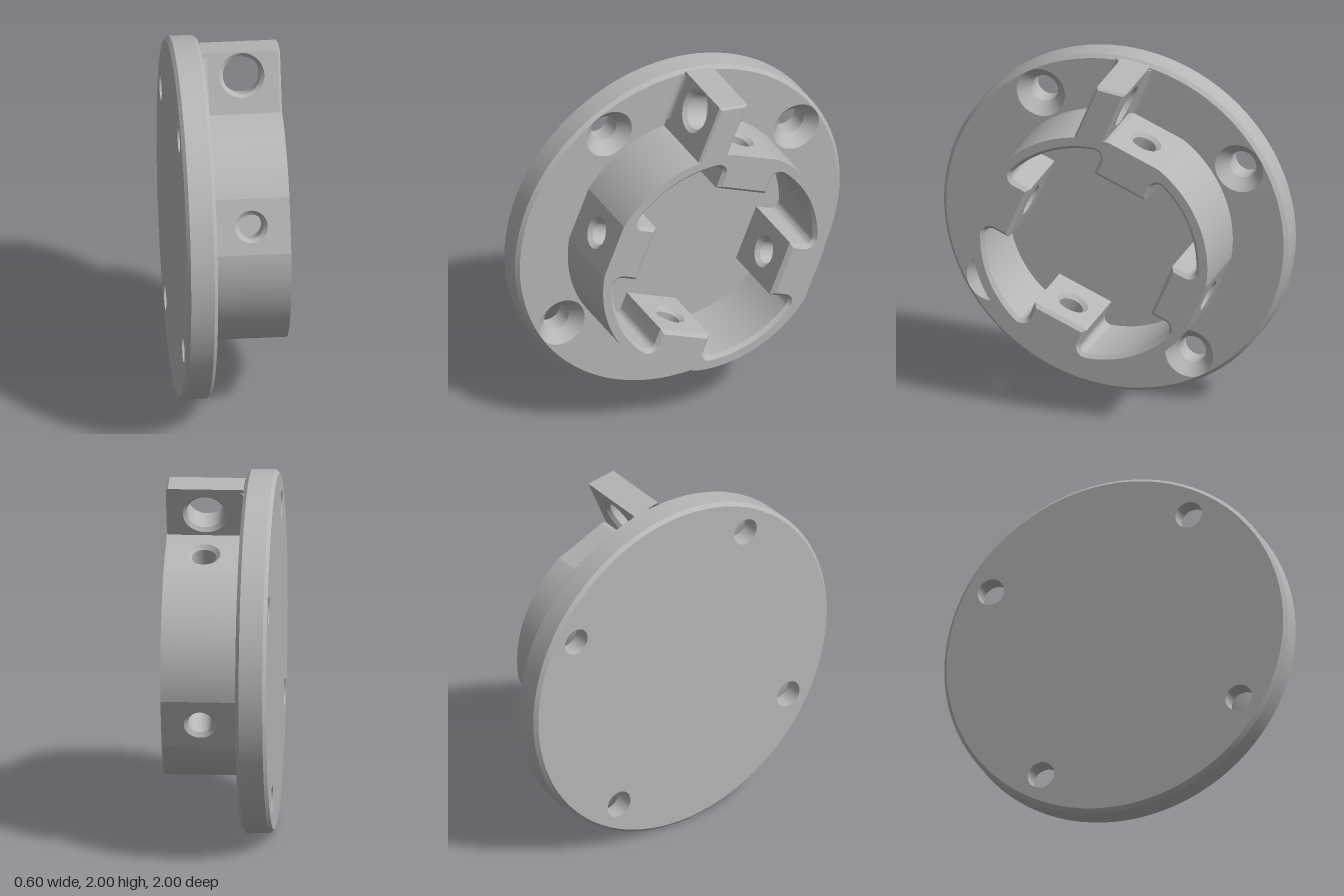
import * as THREE from 'three';
import { toCreasedNormals } from 'three/addons/utils/BufferGeometryUtils.js';

// Local frame: z runs along the flange axis, y points through the first boss.
const BACK = -0.3, FACE = -0.13, END = 0.3, EDGE = 0.02, MID = 0.085;
const INNER = 0.447, HALF = 0.163, POCKET = 0.615, FILLET = 0.04;
const OUTER = 0.685, FLAT = 0.667;

const polar = (r, a) => new THREE.Vector2(r * Math.cos(a), r * Math.sin(a));

function arc(cx, cy, r, a0, a1, n) {
  return Array.from({ length: n + 1 }, (_, i) => {
    const p = polar(r, a0 + (a1 - a0) * i / n);
    return p.set(p.x + cx, p.y + cy);
  });
}

// Move a closed loop sideways to the left of its direction
function offsetLoop(pts, d) {
  const n = pts.length;
  const normal = (a, b) => new THREE.Vector2(a.y - b.y, b.x - a.x).normalize();
  return pts.map((p, i) => {
    const n1 = normal(pts[(i + n - 1) % n], p), n2 = normal(p, pts[(i + 1) % n]);
    return n1.clone().add(n2).multiplyScalar(d / (1 + n1.dot(n2))).add(p);
  });
}

// Band between polyline a at height z0 and polyline b at height z1
function ribbon(a, z0, b, z1) {
  const pos = [];
  for (let i = 0; i + 1 < a.length; i++) {
    const p = [a[i].x, a[i].y, z0], q = [a[i + 1].x, a[i + 1].y, z0];
    const r = [b[i + 1].x, b[i + 1].y, z1], s = [b[i].x, b[i].y, z1];
    pos.push(...p, ...q, ...r, ...p, ...r, ...s);
  }
  const g = new THREE.BufferGeometry();
  g.setAttribute('position', new THREE.Float32BufferAttribute(pos, 3));
  return g;
}

// Flat face with round holes given as [x, y, radius]
function face(points, holes = []) {
  const s = new THREE.Shape(points);
  for (const [x, y, r] of holes) {
    s.holes.push(new THREE.Path(arc(x, y, r, 0, -Math.PI * 2, 40).slice(0, -1)));
  }
  return new THREE.ShapeGeometry(s);
}

const rect = (x0, y0, x1, y1) =>
  [[x0, y0], [x1, y0], [x1, y1], [x0, y1]].map(p => new THREE.Vector2(...p));
const lathe = (pts, n = 40) =>
  new THREE.LatheGeometry(pts.map(p => new THREE.Vector2(...p)), n);
const closed = pts => [...pts, pts[0]];

export function createModel() {
  const grey = new THREE.MeshStandardMaterial({ color: 0xb6b6b6, side: THREE.DoubleSide });
  grey.name = 'grey';
  const body = new THREE.Group();
  body.name = 'mountBody';

  function add(name, geometry, parent = body) {
    const g = geometry.index ? geometry.toNonIndexed() : geometry;
    g.deleteAttribute('normal');
    g.computeVertexNormals();
    const mesh = new THREE.Mesh(toCreasedNormals(g, 0.5), grey);
    mesh.name = name;
    parent.add(mesh);
    return mesh;
  }

  // Flange disc with chamfered rim and four countersunk screw holes
  const screws = [0, 1, 2, 3].map(k => polar(0.84, (53.3 / 180 + k / 2) * Math.PI));
  const circle = arc(0, 0, 1 - EDGE, 0, Math.PI * 2, 96).slice(0, -1);
  add('flangeFront', face(circle, screws.map(p => [p.x, p.y, 0.14])).translate(0, 0, FACE));
  add('flangeBack', face(circle, screws.map(p => [p.x, p.y, 0.077]))
    .scale(1, 1, 1).translate(0, 0, BACK)).geometry.index = null;
  add('flangeRim', lathe([[1 - EDGE, BACK], [1, BACK + EDGE], [1, FACE - EDGE], [1 - EDGE, FACE]], 96)
    .rotateX(Math.PI / 2));
  for (const p of screws) {
    add('screwHole', lathe([[0.14, FACE], [0.077, FACE - 0.065], [0.077, BACK]])
      .rotateX(Math.PI / 2).translate(p.x, p.y, 0));
  }

  // Pocket outline: one quarter runs from a boss corner to the next boss
  const cx = HALF + FILLET, cy = Math.sqrt((POCKET - FILLET) ** 2 - cx * cx);
  const lean = Math.atan2(cy, cx);
  const quarter = [
    new THREE.Vector2(HALF, INNER),
    ...arc(cx, cy, FILLET, Math.PI, lean, 8),
    ...arc(0, 0, POCKET, lean, Math.PI / 2 - lean, 20).slice(1, -1),
    ...arc(cy, cx, FILLET, Math.PI / 2 - lean, -Math.PI / 2, 8),
    new THREE.Vector2(INNER, HALF),
  ];
  const origin = new THREE.Vector2();
  const turned = (pts, k) => pts.map(p => p.clone().rotateAround(origin, -k * Math.PI / 2));
  const pocket = [0, 1, 2, 3].flatMap(k => turned(quarter, k));
  const pocketLip = offsetLoop(pocket, EDGE);

  // Collar outline: round with a flat outside every boss
  const phi = Math.acos(FLAT / OUTER), flatHalf = OUTER * Math.sin(phi);
  const outerArc = arc(0, 0, OUTER, phi, Math.PI / 2 - phi, 24);
  const outline = [0, -1, -2, -3].flatMap(k => turned(outerArc, k));
  const end = new THREE.Shape(outline);
  end.holes.push(new THREE.Path(pocketLip));
  add('collarEnd', new THREE.ShapeGeometry(end).translate(0, 0, END));
  add('pocketChamfer', ribbon(closed(pocket), END - EDGE, closed(pocketLip), END));

  for (let k = 0; k < 4; k++) {
    const part = new THREE.Group();
    part.name = 'collarQuarter';
    part.rotation.z = -k * Math.PI / 2;
    body.add(part);
    add('collarOuterWall', ribbon(outerArc, FACE, outerArc, END), part);
    add('pocketWall', ribbon(quarter, FACE, quarter, END - EDGE), part);
    // Boss faces and the radial hole between them
    add('bossInnerFace', face(rect(-HALF, FACE, HALF, END - EDGE), [[0, MID, 0.09]])
      .rotateX(Math.PI / 2).translate(0, INNER, 0), part);
    const h = (END - FACE) / 2;
    add('bossOuterFlat', face(rect(-flatHalf, -h, flatHalf, h), [[0, 0, 0.09]])
      .rotateX(-Math.PI / 2).translate(0, FLAT, MID), part);
    add('bossHole', lathe([[0.09, FLAT], [0.068, FLAT - 0.022], [0.068, INNER + 0.022], [0.09, INNER]])
      .translate(0, 0, MID), part);
  }

  // Side lug standing on the flange, drilled across
  const x0 = -0.345, x1 = -0.18, low0 = 0.55, low1 = 0.625, top0 = 0.935, top1 = 0.978;
  const c = 0.012;
  const section = [[x0, low0], [x1, low1], [x1, top1], [x0, top0]].map(p => new THREE.Vector2(...p));
  const inset = offsetLoop(section, c);
  const lug = new THREE.Group();
  lug.name = 'lug';
  body.add(lug);
  for (const [x, low, top] of [[x0, low0, top0], [x1, low1, top1]]) {
    const g = face(rect(FACE, low, END - c, top), [[MID, 0.805, 0.124]]).rotateY(-Math.PI / 2);
    if (x === x1) g.scale(-1, 1, 1).index.array.reverse();
    add('lugFace', g.translate(x, 0, 0), lug);
  }
  add('lugTop', ribbon(section.slice(2), FACE, section.slice(2), END - c), lug);
  add('lugEndChamfer', ribbon(closed(section), END - c, closed(inset), END), lug);
  add('lugEnd', face(inset).translate(0, 0, END), lug);
  add('lugHole', lathe([[0.124, x1], [0.104, x1 - 0.02], [0.104, x0 + 0.02], [0.124, x0]])
    .rotateZ(-Math.PI / 2).translate(0, 0.805, MID), lug);

  // Concave fillets where the lug meets the flange
  const f = 0.03;
  for (const [x, side, top] of [[x0, -1, 0.915], [x1, 1, 0.955]]) {
    const curve = arc(f, f, f, Math.PI, Math.PI * 1.5, 6).map(p => new THREE.Vector2(x + side * p.x, p.y));
    const s = new THREE.Shape([new THREE.Vector2(x, 0), ...curve]);
    const g = new THREE.ExtrudeGeometry(s, { depth: top - 0.64, bevelEnabled: false });
    add('lugFillet', g.rotateX(Math.PI / 2).scale(1, 1, 1).translate(0, top, FACE), lug);
  }

  // Turn the first boss off vertical and lay the axis along x
  body.rotation.z = -Math.PI / 8;
  const model = new THREE.Group();
  model.name = 'flangeMount';
  model.add(body);
  model.rotation.y = Math.PI / 2;
  model.position.y = 1;
  const root = new THREE.Group();
  root.name = 'model';
  root.add(model);
  return root;
}
